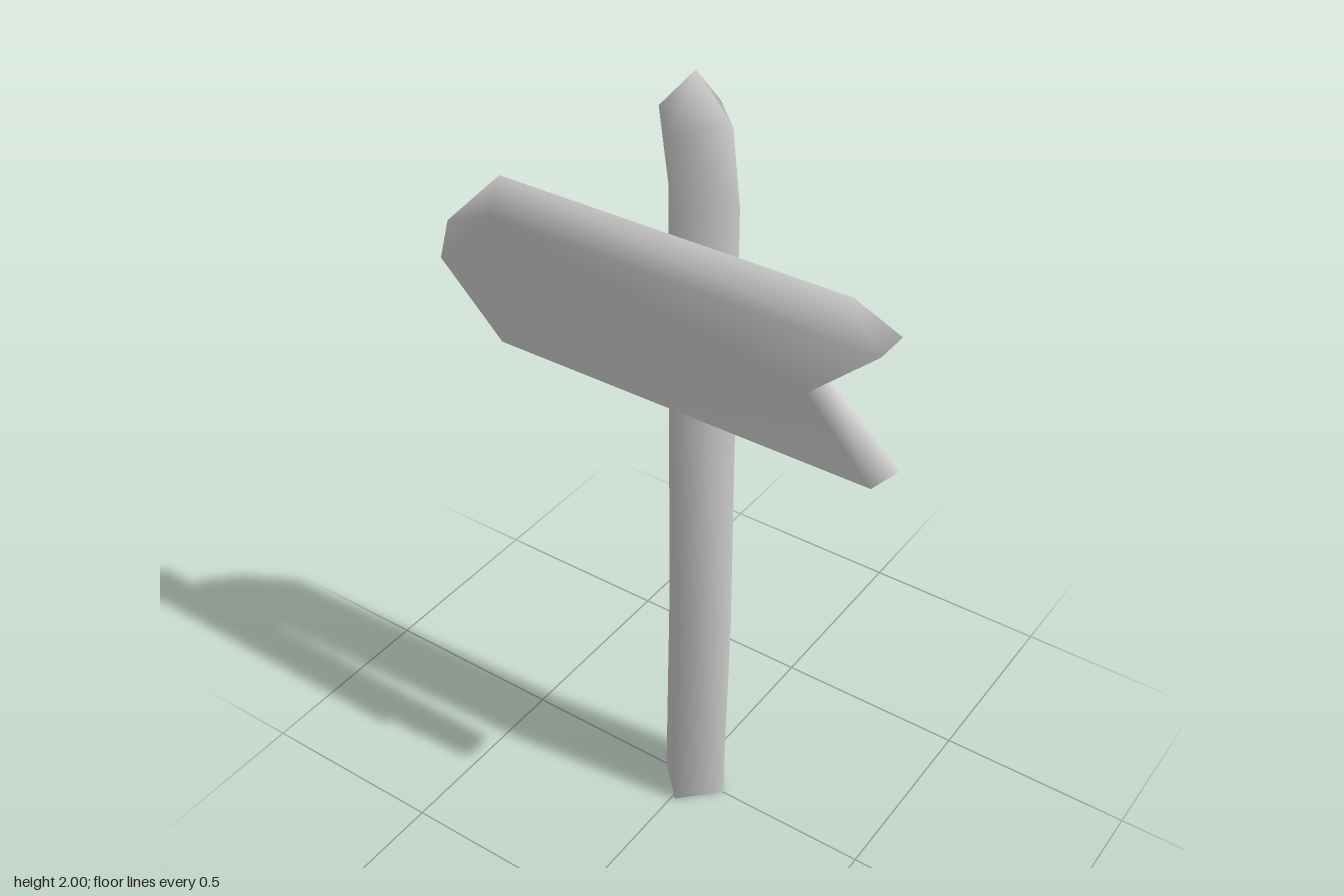
import * as THREE from 'three';
import { mergeVertices } from 'three/addons/utils/BufferGeometryUtils.js';

const grey = new THREE.MeshStandardMaterial({ color: 0xcccccc });
grey.name = 'plainGrey';

function addMesh(parent, name, geometry) {
  const mesh = new THREE.Mesh(geometry, grey);
  mesh.name = name;
  parent.add(mesh);
}

// Weld the seams and round the shading over the edges
function smooth(geometry) {
  geometry.deleteAttribute('uv');
  geometry.deleteAttribute('normal');
  const welded = mergeVertices(geometry, 1e-4);
  welded.computeVertexNormals();
  return welded;
}

function fromTriangles(points) {
  return new THREE.BufferGeometry().setFromPoints(points);
}

// Crooked four-sided post with a pointed top
function createPost() {
  const post = new THREE.Group();
  post.name = 'post';
  // height, radius, centre x, centre z
  const rings = [
    [0, 0.09, 0.01, 0],
    [0.6, 0.09, 0.025, 0],
    [1.69, 0.09, -0.01, -0.06],
    [1.9, 0.09, 0.01, 0],
    [2, 0, 0.01, 0],
  ];
  const shaft = new THREE.LatheGeometry(rings.map(([y, r]) => new THREE.Vector2(r, y)), 4);
  const pos = shaft.attributes.position;
  for (let i = 0; i < pos.count; i++) {
    const [, , cx, cz] = rings[i % rings.length];
    pos.setX(i, pos.getX(i) + cx);
    pos.setZ(i, pos.getZ(i) + cz);
  }
  addMesh(post, 'postShaft', smooth(shaft));
  addMesh(post, 'postBase', new THREE.CircleGeometry(0.09, 4).rotateX(Math.PI / 2).translate(0.01, 0, 0));
  return post;
}

// Arrow board: flat front and back, with a ridge along some of its rim
function createBoard() {
  const board = new THREE.Group();
  board.name = 'arrowBoard';
  const front = 0.152, middle = 0.11, back = 0.067;
  // Counterclockwise corners; ridge is the matching mid-depth point
  const corners = [
    { at: [-0.41, 1.295] },
    { at: [0.54, 1.295], ridge: [0.58, 1.33], ridged: true },
    { at: [0.38, 1.465], ridge: [0.41, 1.492] },
    { at: [0.54, 1.61], ridge: [0.45, 1.69], ridged: true },
    { at: [-0.42, 1.612], ridge: [-0.42, 1.69], ridged: true },
    { at: [-0.573, 1.458], ridge: [-0.582, 1.53] },
  ].map(({ at, ridge, ridged }) => ({
    ridged, // the edge leaving this corner has a ridge
    f: new THREE.Vector3(...at, front),
    b: new THREE.Vector3(...at, back),
    m: ridge && new THREE.Vector3(...ridge, middle),
  }));

  const soft = [], hard = [];
  const quad = (list, a, b, c, d) => list.push(a, b, c, a, c, d);

  // Front and back faces
  const outline = corners.map(({ f }) => new THREE.Vector2(f.x, f.y));
  for (const [i, j, k] of THREE.ShapeUtils.triangulateShape(outline, [])) {
    soft.push(corners[i].f, corners[j].f, corners[k].f);
    soft.push(corners[i].b, corners[k].b, corners[j].b);
  }

  // Rim: ridged edges get two slopes, the others one flat strip
  corners.forEach((p, i) => {
    const q = corners[(i + 1) % corners.length];
    const before = corners[(i + corners.length - 1) % corners.length];
    if (p.ridged) {
      quad(soft, p.f, p.m, q.m, q.f);
      quad(soft, p.m, p.b, q.b, q.m);
      if (!before.ridged) soft.push(p.f, p.b, p.m);
      if (!q.ridged) soft.push(q.m, q.b, q.f);
    } else {
      quad(hard, p.f, p.b, q.b, q.f);
    }
  });

  const rim = fromTriangles(hard);
  rim.computeVertexNormals();
  addMesh(board, 'boardFaces', smooth(fromTriangles(soft)));
  addMesh(board, 'boardFlatEdges', rim);
  return board;
}

export function createModel() {
  const model = new THREE.Group();
  model.name = 'signpost';
  model.add(createPost(), createBoard());
  return model;
}
